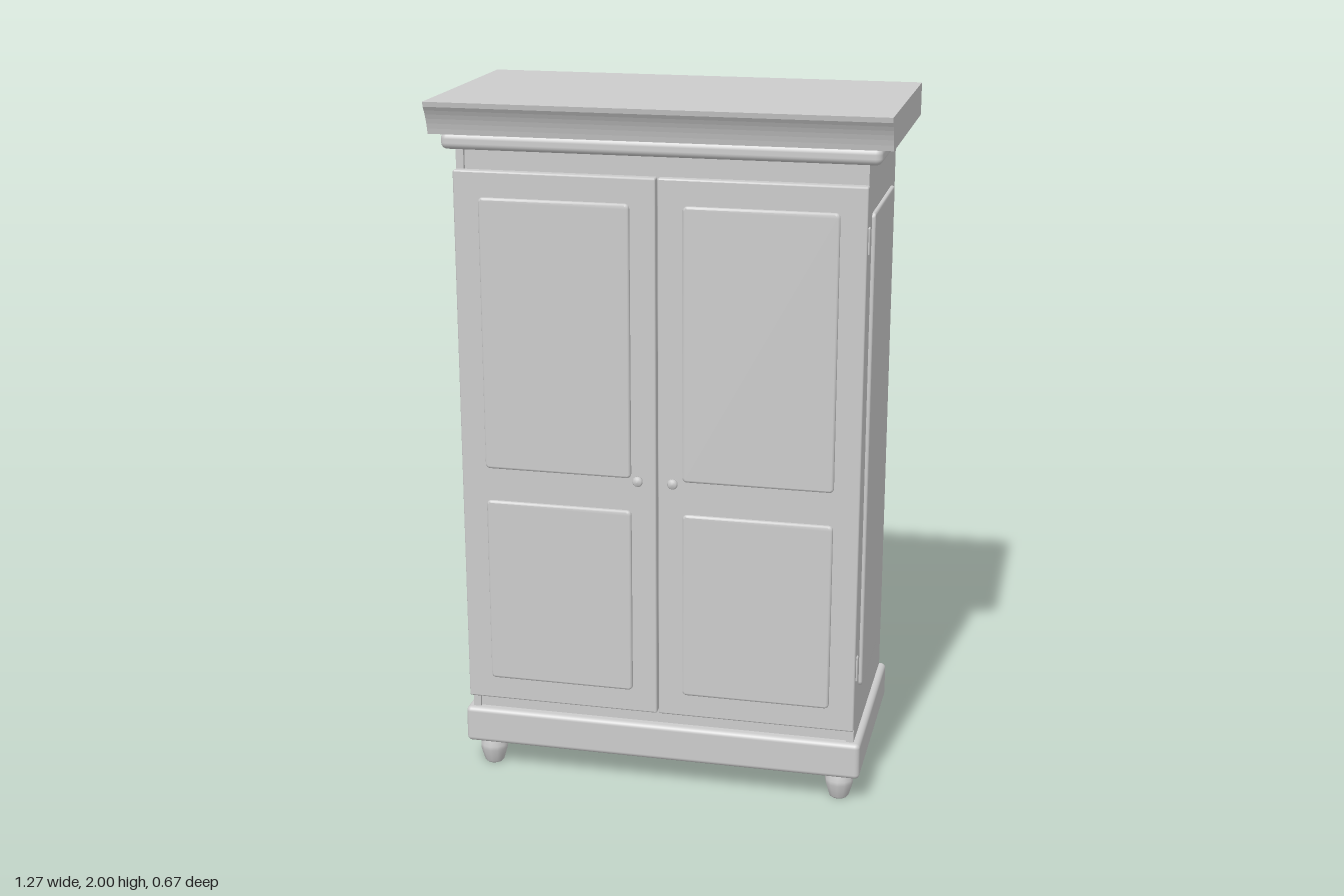
import * as THREE from 'three';
import { mergeVertices } from 'three/addons/utils/BufferGeometryUtils.js';
import { RoundedBoxGeometry } from 'three/addons/geometries/RoundedBoxGeometry.js';

const grey = new THREE.MeshStandardMaterial({ color: 0xcccccc });
grey.name = 'painted grey';

function add(parent, name, geometry, x = 0, y = 0, z = 0) {
  const mesh = new THREE.Mesh(geometry, grey);
  mesh.name = name;
  mesh.position.set(x, y, z);
  parent.add(mesh);
  return mesh;
}

// Box given by its limits, optionally with rounded edges
function block(parent, name, [x0, x1], [y0, y1], [z0, z1], radius = 0) {
  const size = [x1 - x0, y1 - y0, z1 - z0];
  const geometry = radius
    ? new RoundedBoxGeometry(...size, 3, radius)
    : new THREE.BoxGeometry(...size);
  return add(parent, name, geometry, (x0 + x1) / 2, (y0 + y1) / 2, (z0 + z1) / 2);
}

// Softly shaded upright board with eased edges, centred in x and y, back at z = 0
function board(w, h, depth, ease, corner) {
  const a = w / 2 - ease, b = h / 2 - ease, r = corner;
  const s = new THREE.Shape();
  s.moveTo(-a + r, -b);
  s.lineTo(a - r, -b);
  s.quadraticCurveTo(a, -b, a, -b + r);
  s.lineTo(a, b - r);
  s.quadraticCurveTo(a, b, a - r, b);
  s.lineTo(-a + r, b);
  s.quadraticCurveTo(-a, b, -a, b - r);
  s.lineTo(-a, -b + r);
  s.quadraticCurveTo(-a, -b, -a + r, -b);
  let g = new THREE.ExtrudeGeometry(s, {
    depth: depth - 2 * ease, bevelEnabled: true, bevelSize: ease,
    bevelThickness: ease, bevelSegments: 2, curveSegments: 4,
  });
  g.translate(0, 0, ease);
  g.deleteAttribute('normal');
  g.deleteAttribute('uv');
  g = mergeVertices(g, 1e-5);
  g.computeVertexNormals();
  return g;
}

export function createModel() {
  const model = new THREE.Group();
  model.name = 'wardrobe';

  // Carcass between two side boards
  block(model, 'carcass', [-0.551, 0.551], [0.18, 1.88], [-0.303, 0.255]);

  // Plinth and the rounded moulding under the crown
  block(model, 'plinth', [-0.59, 0.59], [0.085, 0.195], [-0.317, 0.283], 0.014);
  block(model, 'neckMoulding', [-0.606, 0.606], [1.865, 1.912], [-0.323, 0.293], 0.018);

  // Crown: flat sides and back, coved front
  const crown = new THREE.Shape();
  crown.moveTo(-0.335, 1.908);
  crown.lineTo(0.3, 1.908);
  crown.quadraticCurveTo(0.309, 1.955, 0.332, 1.986);
  crown.lineTo(0.335, 2);
  crown.lineTo(-0.335, 2);
  crown.closePath();
  const crownGeometry = new THREE.ExtrudeGeometry(crown, {
    depth: 1.272, bevelEnabled: false, curveSegments: 6,
  });
  crownGeometry.translate(0, 0, -0.636);
  crownGeometry.rotateY(-Math.PI / 2);
  add(model, 'crown', crownGeometry);

  // Turned foot and knob profiles
  const lathe = (points, sides) =>
    new THREE.LatheGeometry(points.map(([r, y]) => new THREE.Vector2(r, y)), sides);
  const foot = lathe([[0, 0], [0.025, 0], [0.029, 0.005], [0.035, 0.025],
    [0.041, 0.046], [0.041, 0.058], [0.036, 0.075], [0.032, 0.09]], 12);
  const knob = lathe([[0.006, 0], [0.006, 0.018], [0.014, 0.022],
    [0.015, 0.029], [0.011, 0.035], [0, 0.036]], 14);
  knob.rotateX(Math.PI / 2);

  const doorGeometry = board(0.57, 1.57, 0.03, 0.004, 0.002);
  const upperPanel = board(0.426, 0.78, 0.022, 0.006, 0.008);
  const lowerPanel = board(0.426, 0.552, 0.022, 0.006, 0.008);
  const sidePanel = board(0.42, 1.38, 0.02, 0.005, 0.008);

  for (const side of [-1, 1]) {
    const label = side > 0 ? 'left' : 'right';

    // Side board with its raised panel
    const xs = side > 0 ? [0.548, 0.57] : [-0.57, -0.548];
    block(model, label + 'SideBoard', xs, [0.18, 1.88], [-0.308, 0.265]);
    const panel = add(model, label + 'SidePanel', sidePanel, side * 0.56, 1.03, -0.02);
    panel.rotation.y = side * Math.PI / 2;

    // Door with two raised panels and a knob
    const door = new THREE.Group();
    door.name = label + 'Door';
    model.add(door);
    add(door, 'doorLeaf', doorGeometry, side * 0.2875, 1.025, 0.262);
    add(door, 'upperDoorPanel', upperPanel, side * 0.287, 1.348, 0.28);
    add(door, 'lowerDoorPanel', lowerPanel, side * 0.287, 0.585, 0.28);
    add(door, 'knob', knob, side * 0.05, 0.957, 0.29);

    // Hinges on the outer edge
    for (const y of [0.427, 1.66]) {
      const hx = side > 0 ? [0.56, 0.577] : [-0.577, -0.56];
      block(door, 'hinge', hx, [y - 0.038, y + 0.038], [0.257, 0.275], 0.004);
    }

    // Front and back feet
    for (const z of [0.218, -0.258]) add(model, 'foot', foot, side * 0.525, 0, z);
  }
  return model;
}
